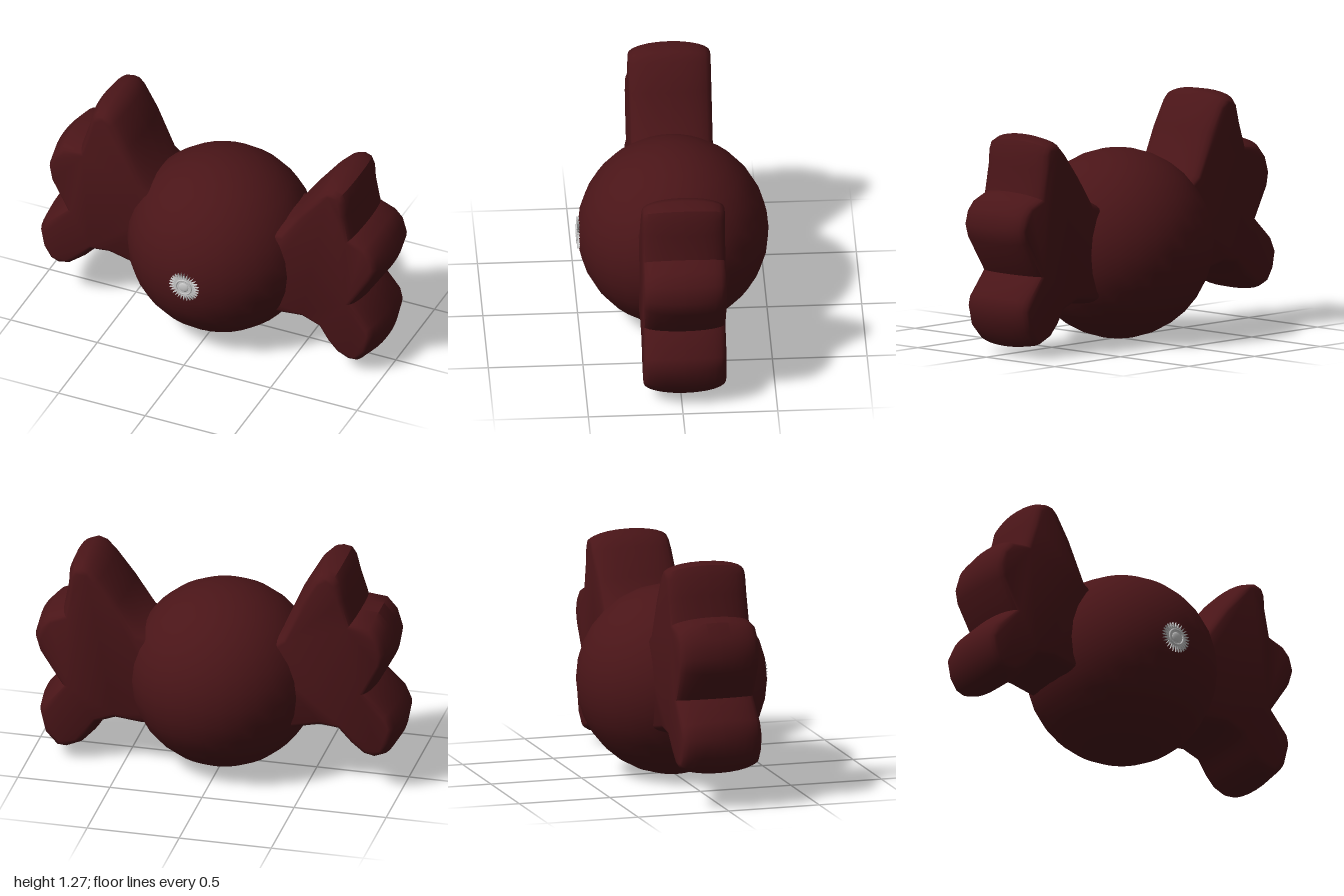
import * as THREE from 'three';
import { toCreasedNormals } from 'three/addons/utils/BufferGeometryUtils.js';

const wrapperMaterial = new THREE.MeshStandardMaterial({ color: 0x4a1518 });
const badgeMaterial = new THREE.MeshStandardMaterial({ color: 0xcccccc });

function add(parent, name, geometry, material, x = 0, y = 0, z = 0) {
  const mesh = new THREE.Mesh(geometry, material);
  mesh.name = name;
  mesh.position.set(x, y, z);
  parent.add(mesh);
  return mesh;
}

// Outlines of the twisted ends, from the top of the ball round to the bottom
const leftOutline = [
  [0.2, 0.75], [0.40, 0.80], [0.505, 0.955], [0.61, 1.09], [0.665, 1.145], [0.725, 1.165],
  [0.79, 1.14], [0.815, 1.08], [0.82, 1.0], [0.845, 0.87], [0.92, 0.84], [0.975, 0.78],
  [1.0, 0.69], [0.975, 0.605], [0.865, 0.435], [0.96, 0.32], [0.975, 0.255], [0.945, 0.13],
  [0.87, 0.05], [0.805, 0.045], [0.725, 0.08], [0.665, 0.145], [0.62, 0.215], [0.54, 0.245],
  [0.39, 0.23], [0.2, 0.3],
];
const rightOutline = [
  [-0.2, 0.75], [-0.345, 0.865], [-0.44, 1.08], [-0.52, 1.22], [-0.56, 1.26], [-0.605, 1.27],
  [-0.665, 1.26], [-0.70, 1.21], [-0.725, 1.11], [-0.76, 1.0], [-0.855, 0.99], [-0.92, 0.915],
  [-0.95, 0.815], [-0.935, 0.73], [-0.855, 0.58], [-0.96, 0.48], [-1.0, 0.39], [-0.98, 0.285],
  [-0.93, 0.205], [-0.865, 0.18], [-0.795, 0.195], [-0.72, 0.255], [-0.655, 0.325],
  [-0.57, 0.335], [-0.42, 0.30], [-0.2, 0.35],
];

// Thick lobed slab whose rim bulges gently outwards
function wrapperEnd(outline) {
  const shape = new THREE.Shape(outline.map(([x, y]) => new THREE.Vector2(x, y)));
  const geometry = new THREE.ExtrudeGeometry(shape, {
    depth: 0.01, bevelThickness: 0.2125, bevelSize: 0.055, bevelOffset: -0.055, bevelSegments: 6,
  });
  geometry.translate(0, 0, -0.0225);
  return toCreasedNormals(geometry, 0.75);
}

// Fine-pointed star
function starGeometry(points, outer, inner, depth) {
  const shape = new THREE.Shape();
  for (let i = 0; i < points * 2; i++) {
    const r = i % 2 ? inner : outer;
    const a = (i / points) * Math.PI;
    shape[i ? 'lineTo' : 'moveTo'](r * Math.cos(a), r * Math.sin(a));
  }
  shape.closePath();
  return new THREE.ExtrudeGeometry(shape, { depth, bevelEnabled: false });
}

export function createModel() {
  const model = new THREE.Group();
  model.name = 'wrappedSweet';

  // Round centre
  add(model, 'ball', new THREE.SphereGeometry(0.505, 32, 16), wrapperMaterial, 0, 0.508, -0.003);

  // Twisted wrapper ends
  add(model, 'leftWrapperEnd', wrapperEnd(leftOutline), wrapperMaterial);
  add(model, 'rightWrapperEnd', wrapperEnd(rightOutline), wrapperMaterial);

  // Small sunburst badge on the front
  const badge = new THREE.Group();
  badge.name = 'sunburstBadge';
  badge.position.set(0, 0.51, 0.492);
  model.add(badge);
  add(badge, 'spikes', starGeometry(28, 0.085, 0.052, 0.012), badgeMaterial);
  add(badge, 'ring', new THREE.TorusGeometry(0.043, 0.005, 6, 32), badgeMaterial, 0, 0, 0.012);
  add(badge, 'centre', new THREE.SphereGeometry(0.028, 16, 8), badgeMaterial, 0, 0, 0.011).scale.z = 0.25;

  return model;
}
